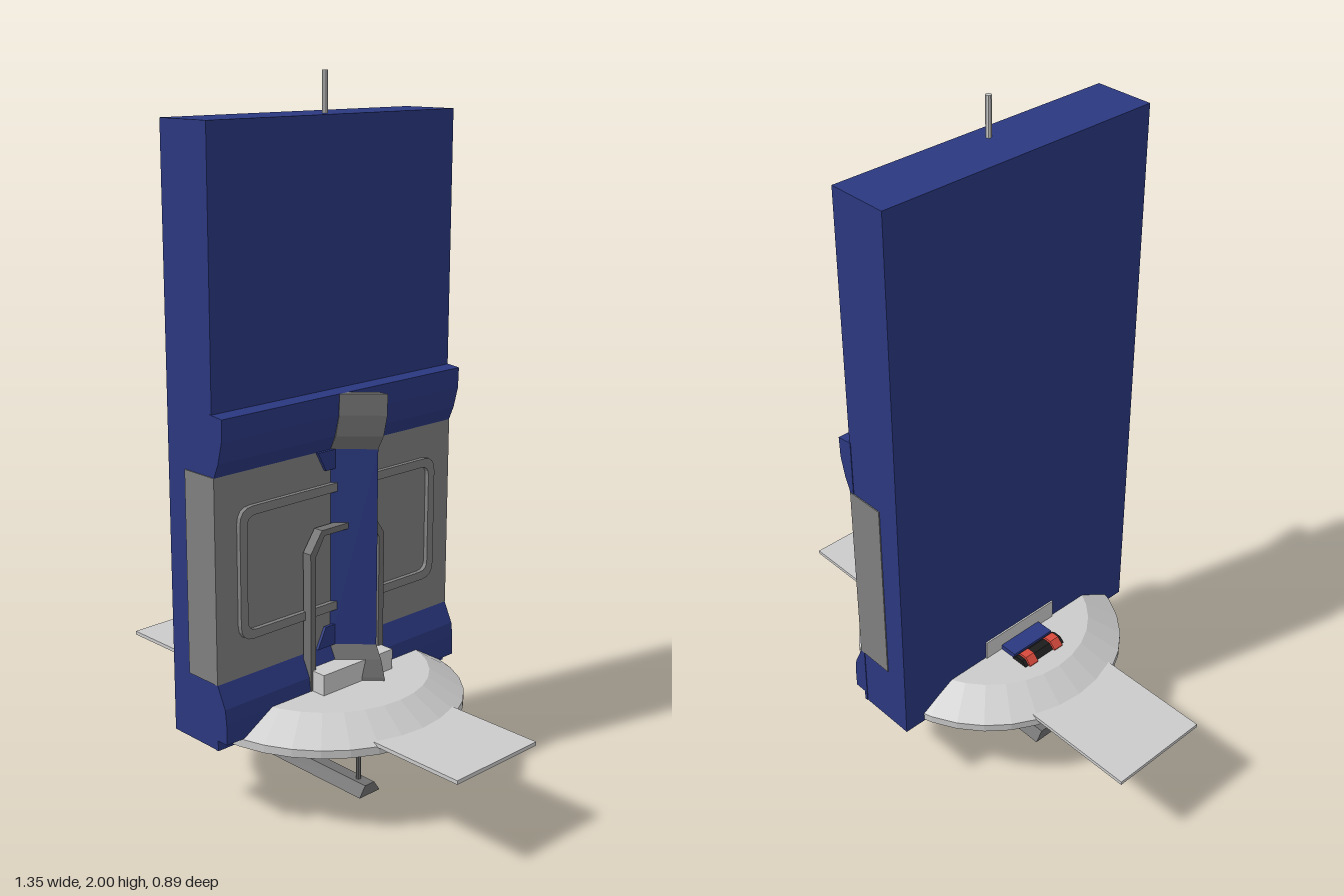
import * as THREE from 'three';

const mat = (color) => new THREE.MeshStandardMaterial({ color, flatShading: true, side: THREE.DoubleSide });
const light = mat(0xcccccc), grey = mat(0x808080), steel = mat(0x707070);
const blue = mat(0x2a3880), black = mat(0x1c1c1c), red = mat(0xd8493c);

export function createModel() {
  const model = new THREE.Group();
  const add = (name, geo, material) => {
    const m = new THREE.Mesh(geo, material);
    m.name = name;
    model.add(m);
    return m;
  };
  // Box given by its minimum and maximum on each axis
  const box = (name, x0, x1, y0, y1, z0, z1, material) => {
    const g = new THREE.BoxGeometry(x1 - x0, y1 - y0, z1 - z0);
    g.translate((x0 + x1) / 2, (y0 + y1) / 2, (z0 + z1) / 2);
    return add(name, g, material);
  };
  const shapeOf = (pts) => new THREE.Shape(pts.map((p) => new THREE.Vector2(...p)));
  // Profile in x and y, run from z0 to z1; shear slides it along x as z falls
  const alongZ = (name, pts, z0, z1, material, shear = 0) => {
    const g = new THREE.ExtrudeGeometry(shapeOf(pts), { depth: z1 - z0, bevelEnabled: false });
    g.translate(0, 0, z0);
    const p = g.attributes.position;
    for (let i = 0; i < p.count; i++) p.setX(i, p.getX(i) + shear * (z1 - p.getZ(i)));
    g.computeVertexNormals();
    return add(name, g, material);
  };
  // Outline in z and y, run from x0 to x1
  const alongX = (name, shape, x0, x1, material) => {
    const g = new THREE.ExtrudeGeometry(shape, { depth: x1 - x0, bevelEnabled: false, curveSegments: 4 });
    g.rotateY(Math.PI / 2);
    g.translate(x0, 0, 0);
    return add(name, g, material);
  };

  // Tall slab with a gap below for the saucer
  alongX('slab', shapeOf([[-0.443, 0.24], [-0.22, 0.24], [-0.22, 0.31], [0.22, 0.31], [0.22, 0.24],
    [0.443, 0.24], [0.443, 1.89], [-0.443, 1.89]]), -0.105, 0.075, blue);
  box('greyPanel', -0.035, 0.083, 0.43, 1.0, -0.446, 0.446, grey);

  // Flared trim above and below the panel
  alongZ('upperTrim', [[0.07, 1], [0.083, 1], [0.1, 1.04], [0.115, 1.1], [0.117, 1.16], [0.07, 1.165]],
    -0.445, 0.445, blue);
  const flare = [[0.117, 0.33], [0.112, 0.37], [0.083, 0.43], [0.07, 0.43]];
  alongZ('lowerTrimMiddle', [[0.07, 0.31], [0.117, 0.31], ...flare], -0.22, 0.22, blue);
  for (const s of [-1, 1]) {
    alongZ('lowerTrimEnd', [[0.07, 0.24], [0.08, 0.24], [0.08, 0.27], [0.117, 0.27], ...flare],
      s > 0 ? 0.22 : -0.445, s > 0 ? 0.445 : -0.22, blue);
  }
  // Tapered tongues of trim at the middle of the panel
  for (const [y, tip] of [[1.0, 0.945], [0.43, 0.49]]) {
    alongX('trimTongue', shapeOf([[-0.09, y], [0.09, y], [0.06, tip], [-0.06, tip]]), 0.08, 0.092, blue);
  }

  // Raised rounded frame on the panel
  const roundRect = (path, w, y0, y1, r) => {
    path.moveTo(-w + r, y0);
    path.lineTo(w - r, y0);
    path.quadraticCurveTo(w, y0, w, y0 + r);
    path.lineTo(w, y1 - r);
    path.quadraticCurveTo(w, y1, w - r, y1);
    path.lineTo(-w + r, y1);
    path.quadraticCurveTo(-w, y1, -w, y1 - r);
    path.lineTo(-w, y0 + r);
    path.quadraticCurveTo(-w, y0, -w + r, y0);
    return path;
  };
  const frame = roundRect(new THREE.Shape(), 0.372, 0.535, 0.905, 0.045);
  frame.holes.push(roundRect(new THREE.Path(), 0.347, 0.56, 0.88, 0.03));
  alongX('panelFrame', frame, 0.08, 0.096, grey);

  // Slanted door leaf standing out from the middle, with flared ends
  const z0 = -0.058, z1 = 0.035, x = 0.083;
  alongZ('doorLeaf', [[x - 0.025, 0.43], [x, 0.43], [x, 1], [x - 0.025, 1]], z0, z1, blue, 0.97);
  alongZ('doorCap', [[x - 0.02, 1], [x, 1], [x + 0.02, 1.04], [x + 0.033, 1.1], [x + 0.034, 1.16],
    [x, 1.16]], z0, z1, steel, 0.97);
  alongZ('doorFoot', [[x - 0.02, 0.3], [x + 0.034, 0.3], [x + 0.034, 0.34], [x + 0.02, 0.39], [x, 0.43],
    [x - 0.02, 0.43]], z0, z1, steel, 0.97);

  // Arched handrail
  alongX('handrail', shapeOf([[-0.142, 0.3], [-0.142, 0.73], [-0.1, 0.79], [0.1, 0.79], [0.142, 0.73],
    [0.142, 0.3], [0.122, 0.3], [0.122, 0.72], [0.09, 0.773], [-0.09, 0.773], [-0.122, 0.72],
    [-0.122, 0.3]]), 0.088, 0.118, steel);

  // Saucer, open underneath
  const saucer = [[0.37, 0.262], [0.37, 0.245], [0.4, 0.245], [0.4, 0.268], [0.3, 0.33], [0, 0.33]];
  add('saucer', new THREE.LatheGeometry(saucer.map((p) => new THREE.Vector2(...p)), 32), light)
    .position.x = 0.025;
  // Slats under the saucer
  for (let i = -5; i <= 5; i++) {
    const z = i * 0.064, half = Math.sqrt(0.38 ** 2 - z * z);
    box('slat', 0.025 - half, 0.025 + half, 0.25, 0.262, z - 0.014, z + 0.014, steel);
  }

  // Side wings and middle box
  for (const s of [-1, 1]) {
    box('wing', s > 0 ? 0.3 : -0.673, s > 0 ? 0.673 : -0.3, 0.266, 0.277, -0.157, 0.157, light);
  }
  box('middleBox', -0.11, 0.163, 0.14, 0.39, -0.135, 0.135, light);

  // Engine block with red lamps
  box('engineBlock', -0.165, -0.1, 0.21, 0.345, -0.075, 0.075, blue);
  box('engineBase', -0.2, -0.1, 0.2, 0.25, -0.07, 0.07, black);
  const rollerEnd = (g) => [[-0.2 - g, 0.2 - g], [-0.175, 0.2 - g], [-0.162, 0.22], [-0.162, 0.335],
    [-0.175, 0.345 + g], [-0.2, 0.345 + g], [-0.215 - g, 0.33], [-0.215 - g, 0.22]];
  alongZ('engineRear', rollerEnd(0), -0.078, 0.078, black);
  for (const s of [-1, 1]) {
    alongZ('redLamp', [[-0.222, 0.3], [-0.168, 0.3], [-0.168, 0.34], [-0.178, 0.353], [-0.203, 0.353],
      [-0.222, 0.333]], s * 0.05 - 0.016, s * 0.05 + 0.016, red);
  }

  // Landing skid on two thin legs
  alongX('skid', shapeOf([[-0.04, 0], [0.04, 0], [0.018, 0.032], [-0.018, 0.032]]), -0.228, 0.21, steel);
  for (const lx of [-0.175, 0.165]) {
    add('skidLeg', new THREE.CylinderGeometry(0.007, 0.007, 0.25, 8), steel).position.set(lx, 0.15, 0);
  }

  // Antenna
  add('antenna', new THREE.CylinderGeometry(0.008, 0.008, 0.12, 8), light).position.set(0.023, 1.94, 0);

  return model;
}
